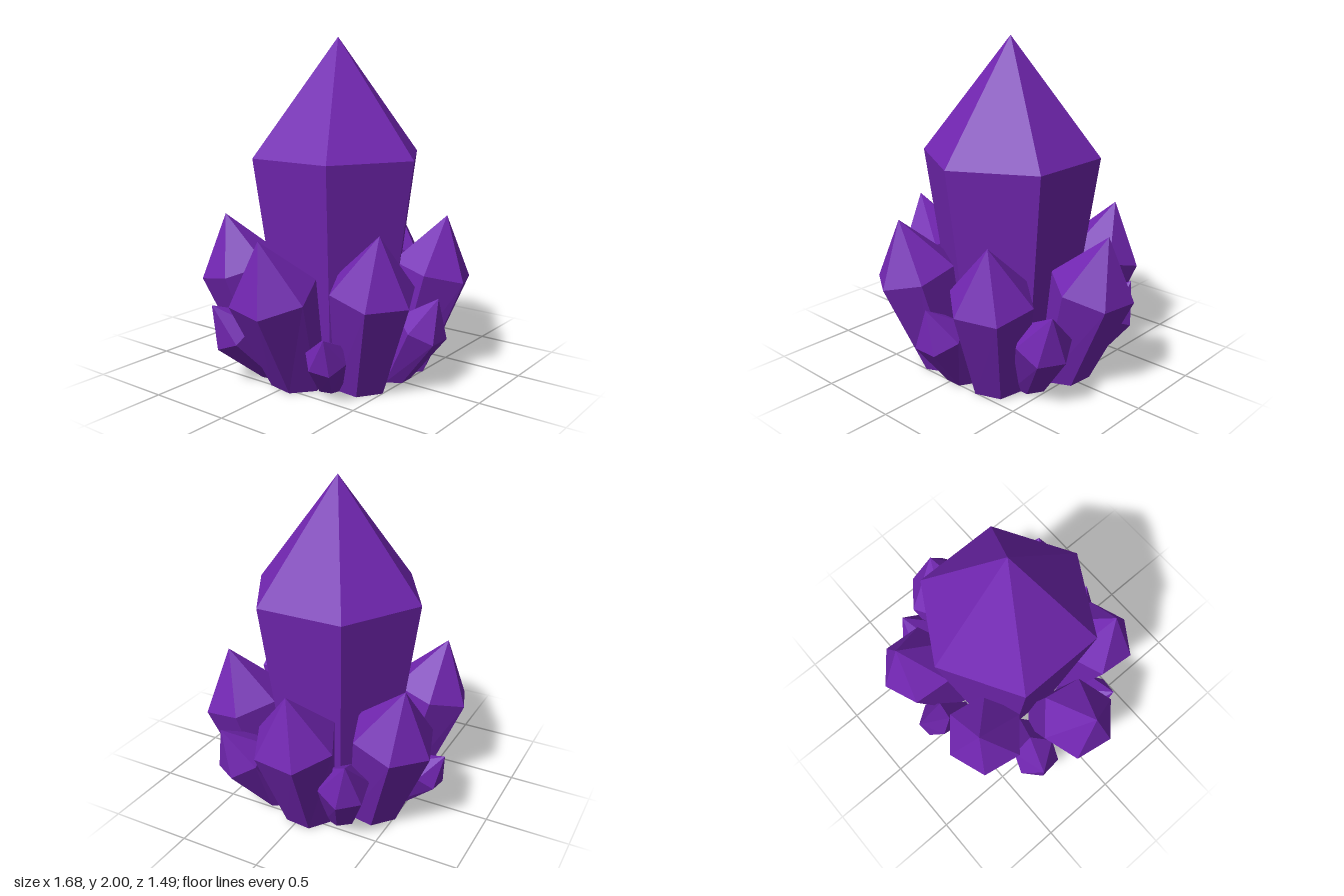
import * as THREE from 'three';

const SIDES = 6;
const CX = 0.025; // axis of the whole cluster

// Six-sided crystal: flat foot on the ground, wider tilted rim, pointed tip.
// phase is the heading of one rim corner in degrees, turning from +x to +z.
function crystalGeometry({ foot, tip, rim, radius, footRadius, phase }) {
  const base = new THREE.Vector3(foot[0], 0, foot[1]);
  const apex = new THREE.Vector3(...tip);
  const axis = apex.clone().sub(base);
  const tilt = new THREE.Quaternion().setFromUnitVectors(
    new THREE.Vector3(0, 1, 0), axis.clone().normalize());
  const centre = base.clone().addScaledVector(axis, rim);

  const low = [], high = [];
  for (let i = 0; i < SIDES; i++) {
    const a = THREE.MathUtils.degToRad(phase) + (i / SIDES) * Math.PI * 2;
    const dir = new THREE.Vector3(Math.cos(a), 0, Math.sin(a));
    low.push(base.clone().addScaledVector(dir, footRadius));
    high.push(centre.clone().addScaledVector(dir.applyQuaternion(tilt), radius));
  }

  const points = [];
  for (let i = 0; i < SIDES; i++) {
    const j = (i + 1) % SIDES;
    points.push(low[i], high[i], low[j], low[j], high[i], high[j]); // shaft
    points.push(high[i], apex, high[j]); // point
    points.push(base, low[i], low[j]); // underside
  }
  const geometry = new THREE.BufferGeometry().setFromPoints(points);
  geometry.computeVertexNormals();
  return geometry;
}

// Foot of an outer crystal: on a ring, in line with its tip
function footOf([x, , z], distance) {
  const k = distance / Math.hypot(x - CX, z);
  return [CX + (x - CX) * k, z * k];
}

export function createModel() {
  const model = new THREE.Group();
  model.name = 'crystalCluster';
  const amethyst = new THREE.MeshStandardMaterial({ color: 0x7226b2, flatShading: true });
  amethyst.name = 'amethyst purple';

  const add = (name, spec) => {
    const mesh = new THREE.Mesh(crystalGeometry(spec), amethyst);
    mesh.name = name;
    model.add(mesh);
  };

  // Tall centre crystal
  add('centreCrystal', {
    foot: [CX, 0], tip: [CX, 2, 0], rim: 0.655, radius: 0.535, footRadius: 0.345, phase: 90,
  });

  // Ring of medium crystals: name, tip, phase
  const medium = [
    ['leftCrystal', [0.72, 0.94, -0.05], 35],
    ['backLeftCrystal', [0.37, 0.945, -0.6], -80],
    ['backRightCrystal', [-0.37, 0.945, -0.56], -79],
    ['rightCrystal', [-0.74, 0.92, 0.04], 160],
    ['frontRightCrystal', [-0.35, 0.95, 0.56], 94],
    ['frontLeftCrystal', [0.37, 0.95, 0.56], 100],
  ];
  for (const [name, tip, phase] of medium) {
    add(name, { foot: footOf(tip, 0.41), tip, rim: 0.655, radius: 0.252, footRadius: 0.16, phase });
  }

  // Small crystals in the gaps: name, tip, rim radius, phase
  const small = [
    ['smallFrontCrystal', [0.03, 0.54, 0.71], 0.155, 60],
    ['smallFrontLeftCrystal', [0.7, 0.6, 0.41], 0.165, 0],
    ['smallBackLeftCrystal', [0.66, 0.56, -0.38], 0.15, -10],
    ['smallBackCrystal', [0.06, 0.4, -0.735], 0.12, -52],
    ['smallBackRightCrystal', [-0.72, 0.49, -0.34], 0.15, -100],
    ['smallFrontRightCrystal', [-0.61, 0.4, 0.38], 0.12, 75],
  ];
  for (const [name, tip, radius, phase] of small) {
    add(name, {
      foot: footOf(tip, 0.42), tip, rim: 0.645, radius, footRadius: radius * 0.63, phase,
    });
  }

  return model;
}
